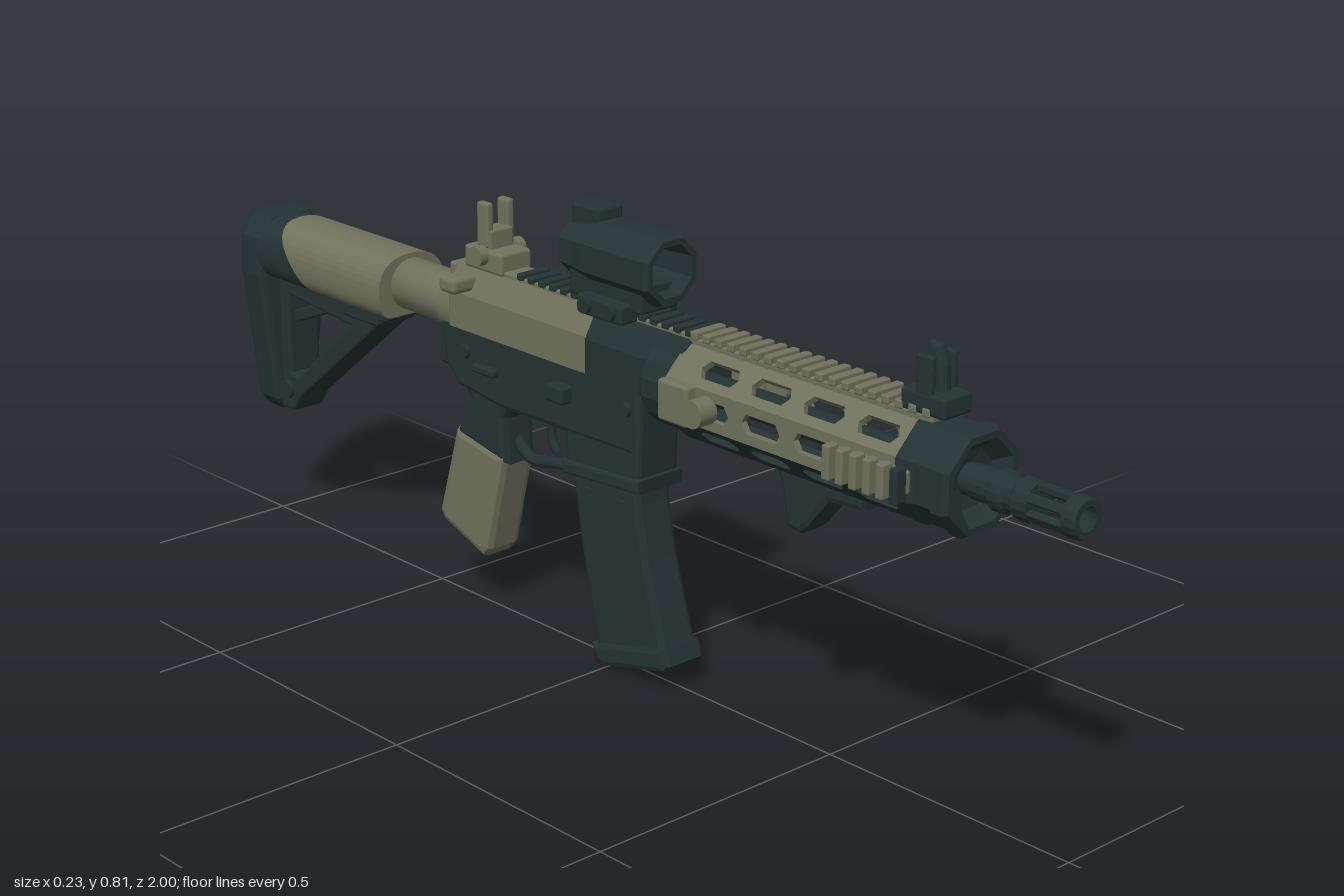
import * as THREE from 'three';
import { RoundedBoxGeometry } from 'three/addons/geometries/RoundedBoxGeometry.js';

const dark = new THREE.MeshStandardMaterial({ color: 0x243233 });
dark.name = 'dark slate';
const tan = new THREE.MeshStandardMaterial({ color: 0x70725c });
tan.name = 'olive tan';
const AXIS = 0.555; // height of the barrel line

function poly(points, holes = []) {
  const toV = (p) => new THREE.Vector2(p[0], p[1]);
  const s = new THREE.Shape(points.map(toV));
  holes.forEach((h) => s.holes.push(new THREE.Path(h.map(toV))));
  return s;
}

function extrude(shape, depth, bevel) {
  const g = new THREE.ExtrudeGeometry(shape, {
    depth: depth - 2 * bevel, bevelEnabled: bevel > 0, bevelSize: bevel,
    bevelThickness: bevel, bevelOffset: -bevel, bevelSegments: 2, curveSegments: 10,
  });
  return g.translate(0, 0, bevel - depth / 2);
}

// side outline in (z, y), given thickness across x
const side = (points, width, bevel = 0.008, holes = []) =>
  extrude(poly(points, holes), width, bevel).rotateY(-Math.PI / 2);

// cross-section in (x, y), run from z0 to z1
const along = (shape, z0, z1, bevel = 0.006) =>
  extrude(shape, Math.abs(z1 - z0), bevel).translate(0, 0, (z0 + z1) / 2);

// turned part along z; profile is [radius, z] with z rising on the outside
function turned(profile, y, sides, flat = false) {
  let g = new THREE.LatheGeometry(profile.map((p) => new THREE.Vector2(p[0], p[1])), sides, Math.PI / sides);
  g.rotateX(Math.PI / 2).translate(0, y, 0);
  if (flat) { g = g.toNonIndexed(); g.computeVertexNormals(); }
  return g;
}

const box = (w, h, d, x, y, z, r = 0.006) =>
  new RoundedBoxGeometry(w, h, d, 2, Math.min(r, w / 3, h / 3, d / 3)).translate(x, y, z);

const tube = (pts, r) => new THREE.TubeGeometry(
  new THREE.CatmullRomCurve3(pts.map((p) => new THREE.Vector3(0, p[1], p[0]))), 20, r, 8);

const knob = (r, len, x, y, z) =>
  new THREE.CylinderGeometry(r, r, len, 14).rotateZ(Math.PI / 2).translate(x, y, z);

export function createModel() {
  const model = new THREE.Group();
  const add = (name, geo, mat) => {
    const m = new THREE.Mesh(geo, mat);
    m.name = name;
    model.add(m);
    return m;
  };

  // barrel and slotted muzzle
  add('barrel', turned([[0, 0.15], [0.026, 0.15], [0.026, 0.8], [0, 0.8]], AXIS, 16), dark);
  add('muzzleBody', turned([[0, 0.79], [0.028, 0.79], [0.028, 0.83], [0.034, 0.835], [0.034, 0.855],
    [0.029, 0.86], [0.029, 0.875], [0.034, 0.88], [0.034, 0.91], [0, 0.91]], AXIS, 16, true), dark);
  add('muzzleRing', turned([[0.02, 0.975], [0.034, 0.975], [0.034, 0.994], [0.031, 1], [0.02, 1], [0.02, 0.975]], AXIS, 16, true), dark);
  for (let i = 0; i < 6; i++) {
    const bar = box(0.013, 0.016, 0.08, 0.0265, 0, 0.942, 0.003).rotateZ((i * Math.PI) / 3 + Math.PI / 6);
    add('muzzleBar', bar.translate(0, AXIS, 0), dark);
  }

  // octagonal handguard: eight slotted panels
  const apothem = 0.08, half = apothem * Math.tan(Math.PI / 8);
  const z0 = 0.19, z1 = 0.72;
  const slots = [0.25, 0.365, 0.48, 0.595].map((z) => {
    const e = z + 0.085, h = 0.016, c = 0.01;
    return [[z + c, -h], [e - c, -h], [e, 0], [e - c, h], [z + c, h], [z, 0]];
  });
  for (let i = 0; i < 8; i++) {
    const top = i === 2;
    const panel = side([[z0, -half], [z1, -half], [z1, half], [z0, half]], 0.012, 0, top ? [] : slots);
    panel.translate(apothem - 0.006, 0, 0).rotateZ((i * Math.PI) / 4).translate(0, AXIS, 0);
    add('handguardPanel', panel, i <= 4 ? tan : dark);
  }
  add('handguardCap', turned([[0.03, 0.74], [0.08, 0.69], [0.088, 0.695], [0.088, 0.72], [0.084, 0.73], [0.084, 0.765],
    [0.09, 0.77], [0.09, 0.79], [0.084, 0.8], [0.072, 0.8], [0.05, 0.775], [0.024, 0.77]], AXIS, 8, true), dark);

  // side rail sections and rear clamps
  for (const s of [-1, 1]) {
    add('sideRailBase', box(0.02, 0.04, 0.16, s * 0.086, AXIS, 0.645), tan);
    for (let i = 0; i < 6; i++) {
      add('sideRailTooth', box(0.024, 0.058, 0.016, s * 0.102, AXIS, 0.58 + i * 0.028, 0.004), i === 5 ? dark : tan);
    }
    add('handguardClamp', box(0.03, 0.07, 0.07, s * 0.085, AXIS, 0.225), tan);
    add('clampKnob', knob(0.024, 0.036, s * 0.096, AXIS, 0.285), tan);
  }

  // top rail and lower rail with teeth
  add('frontRail', box(0.06, 0.02, 0.53, 0, 0.635, 0.455, 0.003), tan);
  for (let z = 0.205; z < 0.71; z += 0.028) add('frontRailTooth', box(0.068, 0.014, 0.016, 0, 0.65, z, 0.003), tan);
  add('rearRail', box(0.056, 0.02, 0.5, 0, 0.638, -0.06, 0.003), tan);
  for (let z = -0.23; z < 0.19; z += 0.028) add('rearRailTooth', box(0.064, 0.012, 0.016, 0, 0.65, z, 0.003), dark);
  for (let z = 0.21; z < 0.72; z += 0.04) add('lowerRailTooth', box(0.056, 0.014, 0.024, 0, 0.478, z, 0.003), dark);

  // front hand stop
  add('handStop', side([[0.585, 0.485], [0.58, 0.452], [0.51, 0.445], [0.465, 0.39], [0.445, 0.375],
    [0.415, 0.378], [0.405, 0.44], [0.39, 0.485]], 0.06, 0.012), dark);

  // folding front sight
  add('frontSightBase', box(0.064, 0.035, 0.09, 0, 0.662, 0.7), dark);
  add('frontSightPost', side([[0.725, 0.67], [0.72, 0.72], [0.71, 0.75], [0.69, 0.755], [0.68, 0.72], [0.67, 0.67]], 0.022), dark);
  for (const s of [-1, 1]) add('frontSightEar', box(0.012, 0.065, 0.032, s * 0.025, 0.705, 0.7), dark);

  // upper receiver: dark front, tan rear
  const upper = (w) => poly([[-w, 0.53], [w, 0.53], [w, 0.595], [w * 0.6, 0.64], [-w * 0.6, 0.64], [-w, 0.595]]);
  add('upperReceiverFront', along(upper(0.062), -0.03, 0.2), dark);
  add('barrelNut', turned([[0, 0.12], [0.074, 0.12], [0.08, 0.13], [0.08, 0.19], [0, 0.19]], AXIS, 16, true), dark);
  add('upperReceiverRear', along(upper(0.054), -0.4, -0.02), tan);
  add('ejectionCover', box(0.008, 0.045, 0.17, 0.056, 0.572, -0.13, 0.002), tan);
  add('forwardAssist', knob(0.022, 0.03, 0.06, 0.57, -0.285), dark);
  add('chargingHandle', box(0.18, 0.03, 0.045, 0, 0.618, -0.36, 0.01), tan);
  add('chargingStem', box(0.05, 0.03, 0.1, 0, 0.62, -0.38), tan);

  // rear sight
  add('rearSightBase', box(0.07, 0.04, 0.1, 0, 0.66, -0.325), tan);
  add('rearSightArm', box(0.056, 0.05, 0.035, 0, 0.69, -0.33), tan);
  for (const s of [-1, 1]) {
    add('rearSightEar', box(0.016, 0.08, 0.03, s * 0.023, 0.722, -0.33, 0.007), tan);
    add('rearSightKnob', knob(0.018, 0.018, s * 0.042, 0.67, -0.325), tan);
  }

  // lower receiver with magazine well
  add('lowerReceiver', side([[0.09, 0.545], [0.09, 0.47], [0.075, 0.41], [-0.27, 0.405], [-0.385, 0.42],
    [-0.42, 0.46], [-0.43, 0.54]], 0.096, 0.01), dark);
  add('magazineWell', side([[0.095, 0.52], [0.085, 0.345], [-0.095, 0.335], [-0.1, 0.5]], 0.092, 0.008), dark);
  add('magazineWellLip', side([[0.096, 0.372], [0.092, 0.346], [-0.1, 0.333], [-0.102, 0.359]], 0.104, 0.006), dark);
  for (const s of [-1, 1]) {
    add('receiverPin', knob(0.014, 0.014, s * 0.05, 0.49, 0.06), dark);
    add('receiverPin', knob(0.014, 0.014, s * 0.05, 0.49, -0.36), dark);
    add('selector', box(0.016, 0.016, 0.06, s * 0.054, 0.47, -0.3), dark);
    add('receiverButton', box(0.03, 0.032, 0.045, s * 0.055, s > 0 ? 0.448 : 0.48, -0.1), dark);
  }

  // curved magazine with ribs and base
  add('magazine', side([[0.072, 0.4], [0.078, 0.32], [0.098, 0.22], [0.125, 0.13], [0.145, 0.07], [-0.022, 0.02],
    [-0.045, 0.11], [-0.07, 0.22], [-0.086, 0.32], [-0.086, 0.4]], 0.078, 0.01), dark);
  add('magazineBase', side([[0.147, 0.083], [0.157, 0.05], [0.148, 0.038], [-0.005, 0], [-0.024, 0.008], [-0.036, 0.036]], 0.09, 0.01), dark);
  for (const s of [-1, 1]) {
    add('magazineRib', side([[0.05, 0.32], [0.11, 0.085], [0.09, 0.08], [0.03, 0.32]], 0.008, 0).translate(s * 0.039, 0, 0), dark);
    add('magazineRib', side([[-0.03, 0.32], [0.03, 0.06], [0.01, 0.055], [-0.05, 0.32]], 0.008, 0).translate(s * 0.039, 0, 0), dark);
  }

  // trigger and guard
  add('triggerGuard', tube([[-0.09, 0.365], [-0.125, 0.33], [-0.18, 0.318], [-0.24, 0.31], [-0.285, 0.34]], 0.011), dark);
  add('trigger', tube([[-0.175, 0.42], [-0.185, 0.385], [-0.183, 0.36], [-0.17, 0.34]], 0.008), dark);

  // pistol grip: dark neck, tan handle
  add('gripNeck', side([[-0.25, 0.43], [-0.275, 0.38], [-0.27, 0.295], [-0.408, 0.322], [-0.37, 0.4], [-0.405, 0.45]], 0.074, 0.014), dark);
  add('gripHandle', side([[-0.272, 0.31], [-0.32, 0.12], [-0.335, 0.103], [-0.445, 0.143], [-0.458, 0.16], [-0.405, 0.335]], 0.078, 0.014), tan);

  // boxed optic on its mount
  const oy = 0.732;
  add('opticBody', turned([[0.04, 0.03], [0, 0.02], [0, -0.09], [0.042, -0.11], [0.054, -0.105], [0.057, -0.07], [0.062, -0.04],
    [0.062, 0.11], [0.058, 0.12], [0.047, 0.12], [0.04, 0.03]].slice(2).concat([[0, 0.03]]), oy, 8, true), dark);
  add('opticLens', box(0.034, 0.034, 0.006, 0, oy, 0.034, 0.002), dark);
  add('opticTurret', box(0.056, 0.05, 0.07, 0, 0.786, -0.065), dark);
  add('opticSideKnob', knob(0.022, 0.03, 0.055, oy, -0.06), dark);
  add('opticNeck', box(0.084, 0.05, 0.18, 0, 0.682, 0), dark);
  add('opticMount', box(0.13, 0.034, 0.11, 0, 0.655, 0.01), dark);
  for (const z of [-0.02, 0.04]) add('opticClamp', knob(0.014, 0.146, 0, 0.657, z), dark);

  // buffer tube
  add('bufferTube', turned([[0, -0.6], [0.048, -0.6], [0.048, -0.44], [0.054, -0.435], [0.054, -0.4], [0, -0.4]], 0.557, 20), tan);
  add('bufferPlate', box(0.09, 0.11, 0.03, 0, 0.505, -0.42), dark);

  // stock body with a slanted colour break
  const stockSection = new THREE.Shape();
  stockSection.moveTo(-0.05, 0.5);
  stockSection.lineTo(0.05, 0.5);
  stockSection.quadraticCurveTo(0.076, 0.505, 0.075, 0.55);
  stockSection.quadraticCurveTo(0.074, 0.614, 0, 0.614);
  stockSection.quadraticCurveTo(-0.074, 0.614, -0.075, 0.55);
  stockSection.quadraticCurveTo(-0.076, 0.505, -0.05, 0.5);
  const slant = (g) => {
    const p = g.attributes.position;
    for (let i = 0; i < p.count; i++) {
      if (Math.abs(p.getZ(i) + 0.85) < 0.01) p.setZ(i, p.getZ(i) - (p.getY(i) - 0.56) * 0.9);
    }
    g.computeVertexNormals();
    return g;
  };
  add('stockBody', slant(along(stockSection, -0.85, -0.57, 0)), tan);
  add('stockBodyRear', slant(along(stockSection, -0.96, -0.85, 0)), dark);

  // stock frame, inner brace and butt pad
  add('stockFrame', side([[-0.57, 0.53], [-0.575, 0.495], [-0.62, 0.475], [-0.88, 0.265], [-0.9, 0.235], [-0.97, 0.23],
    [-0.97, 0.53]], 0.07, 0.006, [[[-0.715, 0.45], [-0.905, 0.465], [-0.905, 0.31], [-0.885, 0.305]]]), dark);
  add('stockBrace', side([[-0.68, 0.5], [-0.74, 0.5], [-0.91, 0.43], [-0.91, 0.405]], 0.045, 0.004), dark);
  add('stockLever', box(0.09, 0.03, 0.1, 0, 0.485, -0.67), dark);
  add('slingPin', knob(0.018, 0.084, 0, 0.275, -0.915), dark);
  const pad = poly([[-0.03, 0.228], [0.03, 0.228], [0.046, 0.25], [0.076, 0.5], [0.074, 0.575], [0.045, 0.616],
    [-0.045, 0.616], [-0.074, 0.575], [-0.076, 0.5], [-0.046, 0.25]]);
  add('buttPad', along(pad, -1, -0.93, 0.012), dark);

  return model;
}
